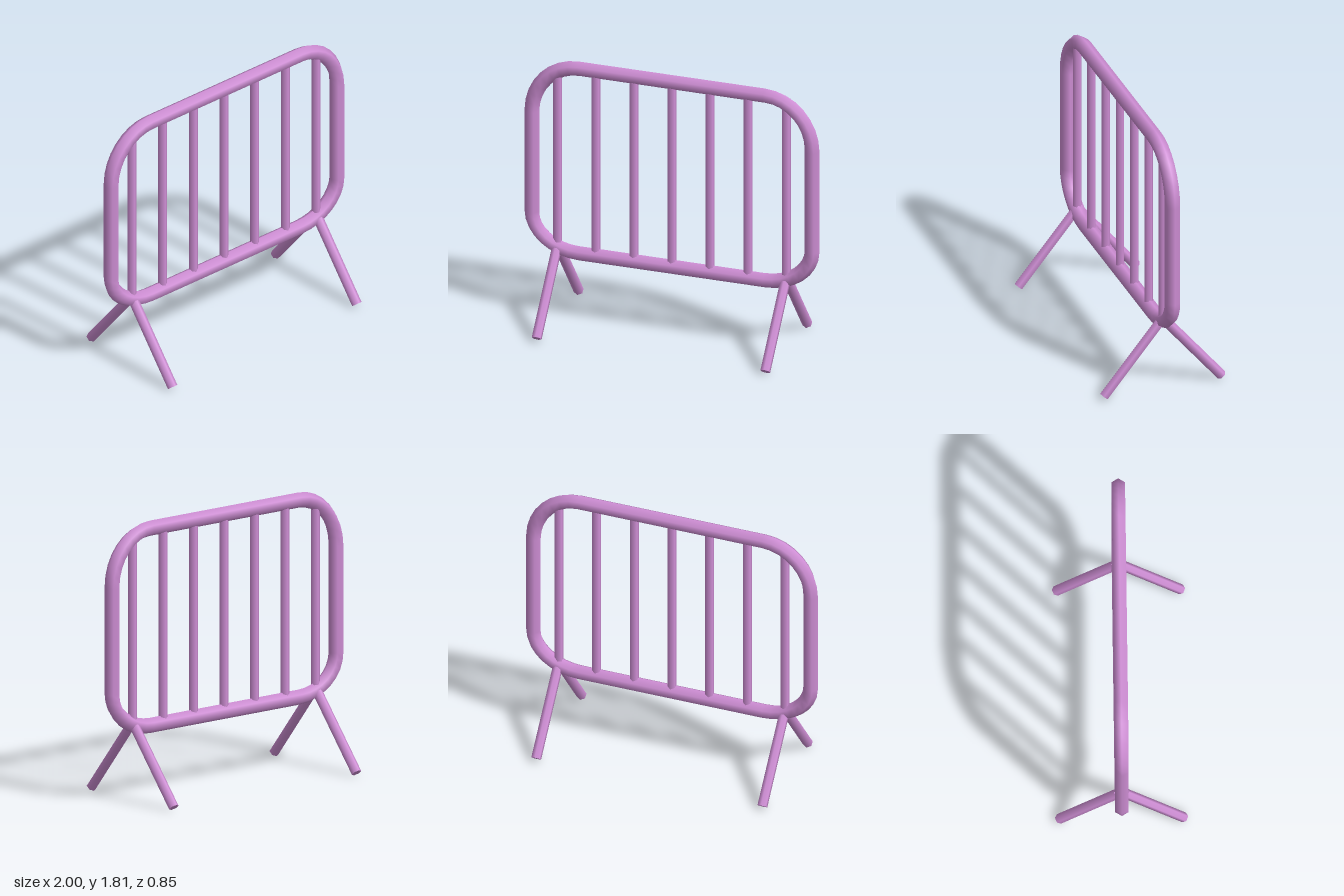
import * as THREE from 'three';

const SIDES = 6;
const material = new THREE.MeshStandardMaterial({ color: 0xd08fd6 });

// Closed tube around a rounded rectangle: each corner is an elliptical arc of
// rings, and the straight rails are spanned between neighbouring corners.
function frameGeometry(radius, steps) {
  const corners = [
    { x: 0.63, y: 1.42, rx: 0.32, ry: 0.34 },
    { x: -0.63, y: 1.42, rx: 0.32, ry: 0.34 },
    { x: -0.63, y: 0.72, rx: 0.32, ry: 0.25 },
    { x: 0.63, y: 0.72, rx: 0.32, ry: 0.25 },
  ];
  const positions = [], normals = [], index = [];
  corners.forEach((c, k) => {
    for (let i = 0; i <= steps; i++) {
      const a = (k + i / steps) * Math.PI / 2;
      const out = new THREE.Vector2(Math.cos(a) / c.rx, Math.sin(a) / c.ry).normalize();
      for (let j = 0; j < SIDES; j++) {
        const v = (j / SIDES) * Math.PI * 2;
        const n = [out.x * Math.cos(v), out.y * Math.cos(v), Math.sin(v)];
        normals.push(...n);
        positions.push(
          c.x + c.rx * Math.cos(a) + n[0] * radius,
          c.y + c.ry * Math.sin(a) + n[1] * radius,
          n[2] * radius
        );
      }
    }
  });
  const rings = corners.length * (steps + 1);
  for (let i = 0; i < rings; i++) {
    const p = i * SIDES, q = ((i + 1) % rings) * SIDES;
    for (let j = 0; j < SIDES; j++) {
      const k = (j + 1) % SIDES;
      index.push(p + j, q + j, q + k, p + j, q + k, p + k);
    }
  }
  const g = new THREE.BufferGeometry();
  g.setAttribute('position', new THREE.Float32BufferAttribute(positions, 3));
  g.setAttribute('normal', new THREE.Float32BufferAttribute(normals, 3));
  g.setIndex(index);
  return g;
}

// Six-sided rod between two points
function rod(name, from, to, radius) {
  const a = new THREE.Vector3(...from), b = new THREE.Vector3(...to);
  const dir = b.clone().sub(a);
  const mesh = new THREE.Mesh(
    new THREE.CylinderGeometry(radius, radius, dir.length(), SIDES), material);
  mesh.name = name;
  mesh.position.copy(a).add(b).multiplyScalar(0.5);
  mesh.quaternion.setFromUnitVectors(new THREE.Vector3(0, 1, 0), dir.normalize());
  return mesh;
}

export function createModel() {
  const model = new THREE.Group();
  model.name = 'crowdBarrier';

  // Rounded outer frame
  const frame = new THREE.Mesh(frameGeometry(0.05, 8), material);
  frame.name = 'frame';
  model.add(frame);

  // Seven upright bars; the outer two meet the curved corners
  const bars = new THREE.Group();
  bars.name = 'bars';
  for (let i = -3; i <= 3; i++) {
    const x = i * 0.2583, outer = Math.abs(i) === 3;
    bars.add(rod('bar', [x, outer ? 0.5 : 0.48, 0], [x, outer ? 1.7 : 1.75, 0], 0.029));
  }
  model.add(bars);

  // Two pairs of splayed legs
  for (const side of [1, -1]) {
    const legs = new THREE.Group();
    legs.name = side > 0 ? 'leftLegs' : 'rightLegs';
    const x = side * 0.775;
    for (const s of [1, -1]) {
      legs.add(rod(s > 0 ? 'frontLeg' : 'backLeg',
        [x, 0.021, s * 0.4], [x, 0.486, s * 0.022], 0.033));
    }
    model.add(legs);
  }
  return model;
}
